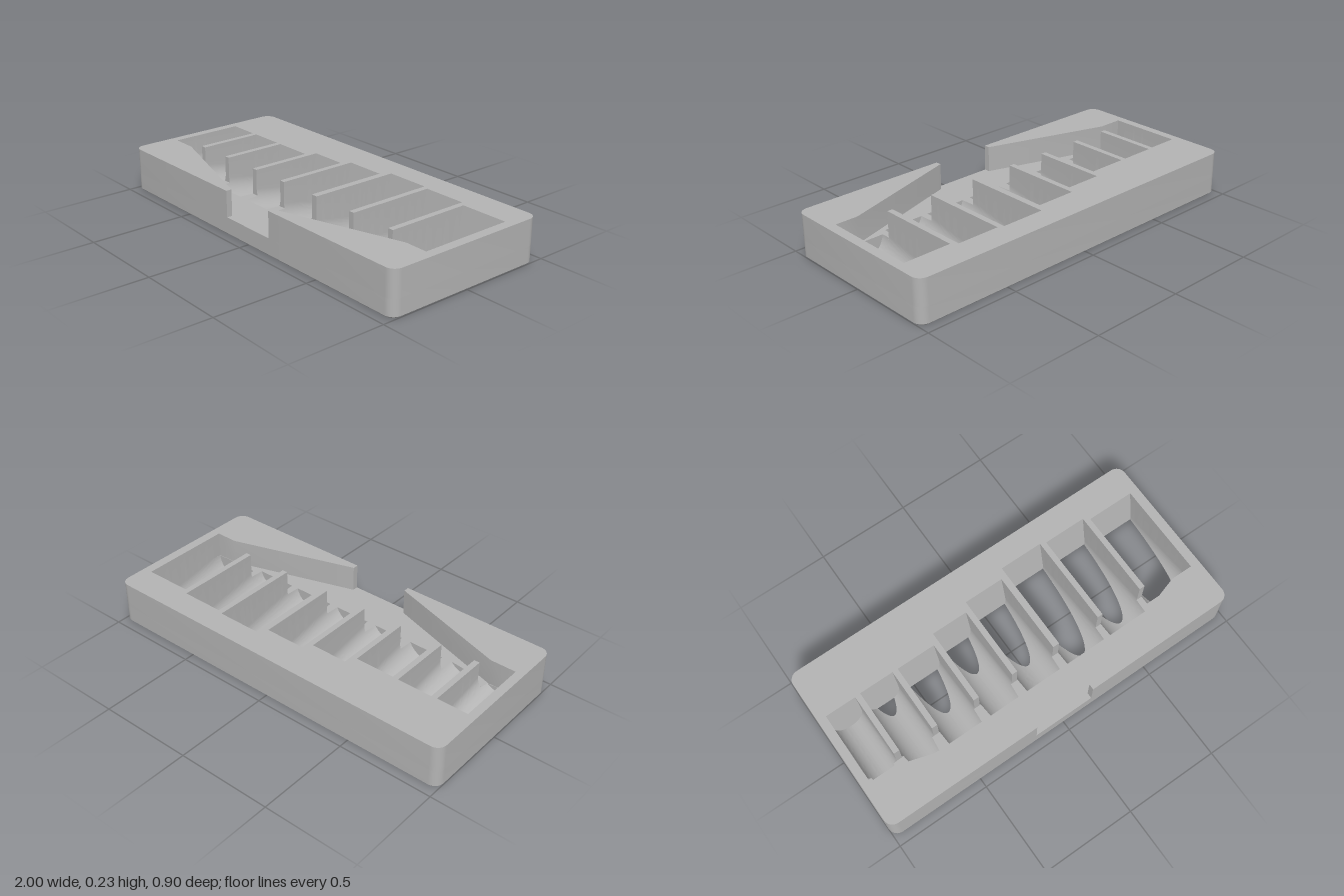
import * as THREE from 'three';
import { toCreasedNormals } from 'three/addons/utils/BufferGeometryUtils.js';

const H = 0.228, FLOOR = 0.09, K = 0.177;      // height, tray floor, slope of the slots
const ZD = 0.165, ZE = 0.214, BEVEL = 0.006;   // divider fronts, tray corners, bottom bevel
const NOTCH = 0.165, XL = -0.955, XR = 0.95;

// [left x, right x, back z, front z] of each coin slot
const slots = [
  [XL, -0.79, -0.175, 0.212], [-0.76, -0.575, -0.178, 0.24], [-0.545, -0.335, -0.178, 0.24],
  [-0.305, -0.11, -0.23, 0.24], [-0.08, 0.135, -0.275, 0.24], [0.17, 0.405, -0.322, 0.24],
  [0.435, 0.665, -0.31, 0.24], [0.695, XR, -0.287, 0.212],
].map(([x0, x1, zb, zf]) => {
  const r = (x1 - x0) / 2;
  return { x0, x1, zb, zf, r, c: (x0 + x1) / 2, a: 0.238 - r - 0.24 * K };
});
const axisY = (s, z) => s.a + K * z;
// half width of the U-shaped slot at height y
const halfWidth = (s, z, y) => {
  const d = Math.max(0, axisY(s, z) - y);
  return Math.sqrt(Math.max(0, s.r * s.r - d * d));
};

// Surface through a grid of points f(i, j)
function surface(nu, nv, f) {
  const pos = [], index = [];
  for (let i = 0; i <= nu; i++) for (let j = 0; j <= nv; j++) pos.push(...f(i, j));
  for (let i = 0; i < nu; i++) for (let j = 0; j < nv; j++) {
    const a = i * (nv + 1) + j, b = a + nv + 1;
    index.push(a, b, a + 1, b, b + 1, a + 1);
  }
  const g = new THREE.BufferGeometry();
  g.setAttribute('position', new THREE.Float32BufferAttribute(pos, 3));
  g.setIndex(index);
  return toCreasedNormals(g, 0.5);
}

// Vertical wall along a path of [x, z] points
const wall = (path, y0, y1, lower = path) => surface(path.length - 1, 1, (i, j) =>
  j ? [path[i][0], y1, path[i][1]] : [lower[i][0], y0, lower[i][1]]);

// Flat face bounded by [x, z] points
function face(points, y, up, holes = []) {
  const k = up ? -1 : 1;
  const vec = (list) => list.map(([x, z]) => new THREE.Vector2(x, k * z));
  const shape = new THREE.Shape(vec(points));
  shape.holes = holes.map((h) => new THREE.Path(vec(h)));
  const g = new THREE.ShapeGeometry(shape);
  g.rotateX(k * Math.PI / 2);
  g.translate(0, y, 0);
  return g;
}

// Rounded outline, from the right side of the notch round the back to the left side
function outline(inset) {
  const r = 0.05, pts = [[NOTCH, 0.45 - inset]];
  [[1, 1, 90], [1, -1, 0], [-1, -1, -90], [-1, 1, -180]].forEach(([sx, sz, start]) => {
    for (let i = 0; i <= 8; i++) {
      const t = THREE.MathUtils.degToRad(start - i * 90 / 8);
      pts.push([sx * (1 - r) + (r - inset) * Math.cos(t), sz * (0.45 - r) + (r - inset) * Math.sin(t)]);
    }
  });
  pts.push([-NOTCH, 0.45 - inset]);
  return pts;
}

// Points across half a slot at station z, from the rim down to the groove bottom or the hole
const ARC = 14;
function halfProfile(s, st, side, rim) {
  const lean = K * THREE.MathUtils.clamp((ZD - st) / (ZD - s.zb), 0, 1);
  const base = s.a + K * st + K * lean * H;
  const end = Math.asin(Math.min(1, base / s.r));
  const start = rim < H ? Math.asin(THREE.MathUtils.clamp((base - rim) / s.r, 0, 1)) : 0;
  const pts = [];
  for (let j = 0; j <= ARC; j++) {
    const t = start + (end - start) * j / ARC;
    const y = Math.max(0, (base - s.r * Math.sin(t)) / (1 + K * lean));
    pts.push([s.c + side * s.r * Math.cos(t), y, st + lean * (H - y)]);
  }
  pts.unshift([s.c + side * s.r * Math.cos(start), rim, st + lean * (H - rim)]);
  return pts;
}

export function createModel() {
  const model = new THREE.Group();
  const grey = new THREE.MeshStandardMaterial({ color: 0xb4b4b4, side: THREE.DoubleSide });
  grey.name = 'grey plastic';
  const add = (name, geometry, parent = model) => {
    const mesh = new THREE.Mesh(geometry, grey);
    mesh.name = name;
    parent.add(mesh);
  };

  const rim = outline(0), foot = outline(BEVEL);
  const closed = (p) => [...p, p[0]];

  // Outer walls, lower below the front notch
  add('upperOuterWall', wall(rim, FLOOR, H));
  add('lowerOuterWall', wall(closed(rim), BEVEL, FLOOR));
  add('bottomBevel', wall(closed(rim), 0, BEVEL, closed(foot)));

  // Funnel sides leading to the notch
  const leftSide = [[-NOTCH, 0.45], [-NOTCH, 0.42], [-0.82, ZE], [XL, ZE], [XL, ZD]];
  const rightSide = [[XR, ZD], [XR, ZE], [0.83, ZE], [NOTCH, 0.42], [NOTCH, 0.45]];
  add('funnelWall', wall(leftSide, FLOOR, H));
  add('funnelWall', wall(rightSide, FLOOR, H));

  // Top face with the divider tops as teeth
  const comb = slots.flatMap((s) => [[s.x0, ZD], [s.x0, s.zb], [s.x1, s.zb], [s.x1, ZD]]);
  add('topFace', face([...rim, ...leftSide.slice(1, -1), ...comb.slice(1, -1),
    ...rightSide.slice(1, -1)], H, true));

  // Tray floor, cut away where the grooves run into it
  const grooves = slots.flatMap((s) => {
    const back = halfWidth(s, ZD, FLOOR), front = halfWidth(s, s.zf, FLOOR);
    return [[s.c - back, ZD], [s.c - front, s.zf], [s.c + front, s.zf], [s.c + back, ZD]];
  });
  add('trayFloor', face([...leftSide, ...grooves, ...rightSide], FLOOR, true));

  // Underside with the curved openings where the slots break through
  const holes = [];
  slots.forEach((s) => {
    const z0 = s.zb + K * H, z1 = Math.min(s.zf, (s.r - s.a) / K);
    if (z1 - z0 < 0.02) return;
    const left = [], right = [];
    for (let i = 0; i <= 24; i++) {
      const z = z1 - (z1 - z0) * (1 - i / 24) ** 2;
      const w = Math.max(0.0005, halfWidth(s, z, 0));
      left.push([s.c - w, z]);
      right.unshift([s.c + w, z]);
    }
    holes.push([...left, ...right]);
  });
  add('underside', face(foot, 0, false, holes));

  // Coin slots: sloping round-bottomed grooves with a leaning back wall
  slots.forEach((s) => {
    const slot = new THREE.Group();
    slot.name = 'coinSlot';
    model.add(slot);
    [[s.zb, ZD, H, 32], [ZD, s.zf, FLOOR, 8]].forEach(([from, to, top, n]) => {
      [-1, 1].forEach((side) => {
        const rows = [];
        for (let i = 0; i <= n; i++) rows.push(halfProfile(s, from + (to - from) * i / n, side, top));
        add('slotSide', surface(n, ARC + 1, (i, j) => rows[i][j]), slot);
      });
    });
    [['slotBack', s.zb, H], ['slotFront', s.zf, FLOOR]].forEach(([name, z, top]) => {
      const ends = [halfProfile(s, z, -1, top), halfProfile(s, z, 1, top)];
      add(name, surface(1, ARC + 1, (i, j) => ends[i][j]), slot);
    });
  });

  // Front ends of the dividers, flaring at the foot
  for (let d = 0; d <= slots.length; d++) {
    const a = slots[d - 1], b = slots[d];
    add('dividerEnd', surface(1, 12, (i, j) => {
      const y = H + (FLOOR - H) * j / 12;
      const x = i ? (b ? b.c - halfWidth(b, ZD, y) : XR) : (a ? a.c + halfWidth(a, ZD, y) : XL);
      return [x, y, ZD];
    }));
  }
  return model;
}
